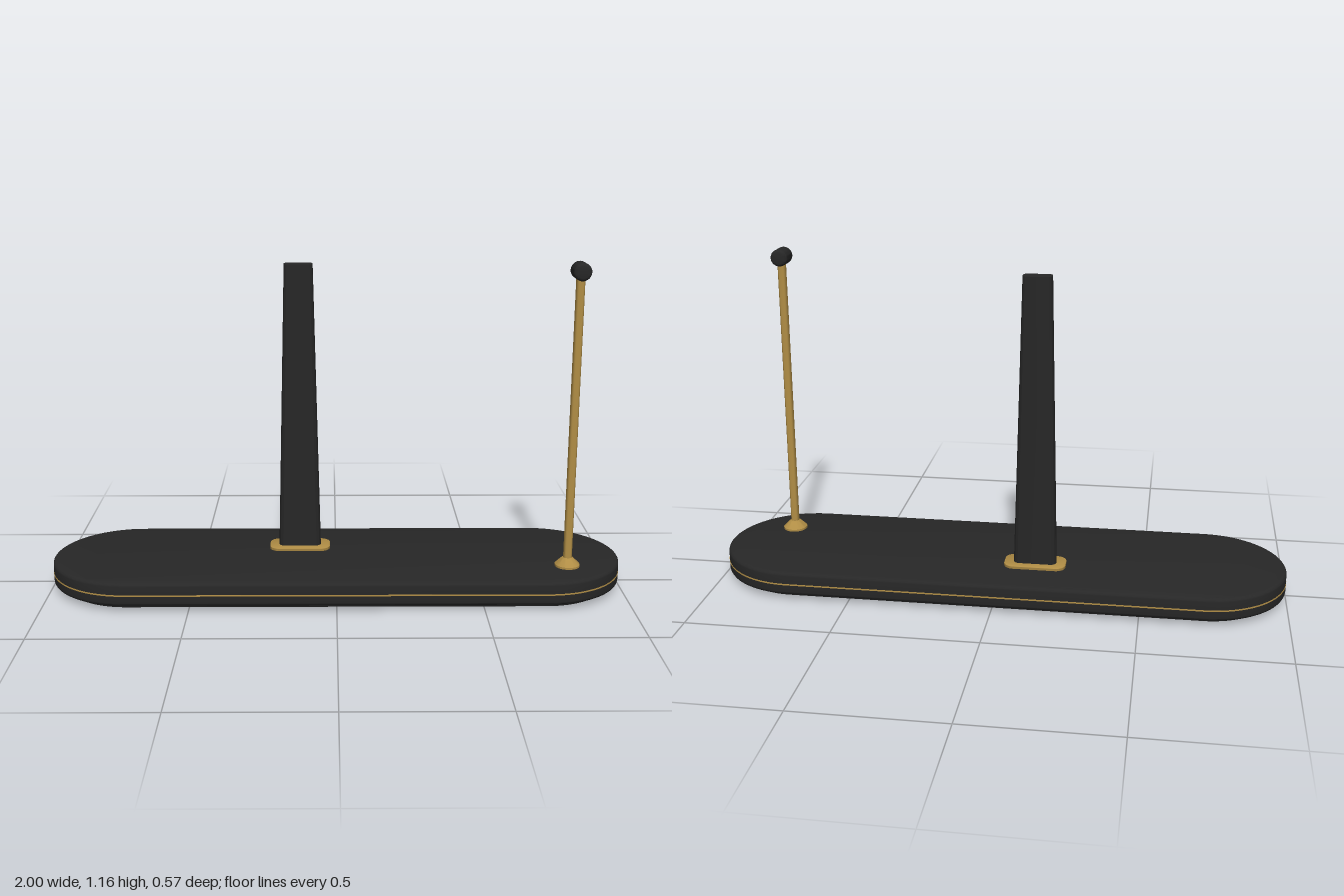
import * as THREE from 'three';
import { toCreasedNormals } from 'three/addons/utils/BufferGeometryUtils.js';

// Rounded slab lying flat: width w (x), depth d (z), corner radius r, from y0 to y1
function slab(w, d, r, y0, y1, bevel = 0) {
  const a = w / 2 - bevel, b = d / 2 - bevel, c = r - bevel;
  const s = new THREE.Shape();
  s.absarc(a - c, b - c, c, 0, Math.PI / 2);
  s.absarc(-a + c, b - c, c, Math.PI / 2, Math.PI);
  s.absarc(-a + c, -b + c, c, Math.PI, Math.PI * 1.5);
  s.absarc(a - c, -b + c, c, Math.PI * 1.5, Math.PI * 2);
  const geo = new THREE.ExtrudeGeometry(s, {
    depth: y1 - y0 - 2 * bevel, curveSegments: 24,
    bevelEnabled: bevel > 0, bevelSize: bevel, bevelThickness: bevel, bevelSegments: 4,
  });
  return geo.rotateX(-Math.PI / 2).translate(0, y0 + bevel, 0);
}

export function createModel() {
  const group = new THREE.Group();
  const material = (name, color) => new THREE.MeshStandardMaterial({ name, color });
  const black = material('black', 0x272727);
  const darkBlack = material('foot black', 0x1b1b1b);
  const brass = material('brass', 0xb08d45);

  function add(name, geo, mat, x = 0, y = 0, z = 0) {
    const mesh = new THREE.Mesh(toCreasedNormals(geo, 0.6), mat);
    mesh.name = name;
    mesh.position.set(x, y, z);
    group.add(mesh);
    return mesh;
  }

  // Long base with recessed foot and thin inlay line
  add('foot', slab(1.91, 0.48, 0.24, 0, 0.03), darkBlack);
  add('base', slab(1.998, 0.568, 0.284, 0.02, 0.102, 0.012), black);
  add('inlayLine', slab(2, 0.57, 0.285, 0.056, 0.061), brass);

  // Tapered post in its collar
  add('postCollar', slab(0.215, 0.108, 0.035, 0.1, 0.113, 0.003), brass, -0.13, 0, -0.082);
  const post = slab(0.15, 0.054, 0.022, 0.1, 1.125);
  const p = post.attributes.position;
  for (let i = 0; i < p.count; i++) {
    if (p.getY(i) > 1) p.setX(i, p.getX(i) * 0.66);
  }
  post.computeVertexNormals();
  add('post', post, black, -0.13, 0, -0.082);

  // Slender rod with flared mount
  const v = (x, y) => new THREE.Vector2(x, y);
  add('rodMount', new THREE.LatheGeometry(
    [v(0, 0.1), v(0.043, 0.1), v(0.043, 0.109), v(0.022, 0.13), v(0.015, 0.134), v(0, 0.134)], 32),
    brass, 0.8, 0, 0.122);
  add('rod', new THREE.CylinderGeometry(0.015, 0.015, 1, 24), brass, 0.8, 0.61, 0.122);

  // Rounded barrel across the top of the rod
  const knob = new THREE.LatheGeometry([
    v(0, -0.039), v(0.02, -0.039), v(0.025, -0.0377), v(0.0287, -0.034), v(0.03, -0.029),
    v(0.03, 0.029), v(0.0287, 0.034), v(0.025, 0.0377), v(0.02, 0.039), v(0, 0.039)], 32);
  add('knob', knob.rotateX(Math.PI / 2), black, 0.8, 1.126, 0.124);

  return group;
}
